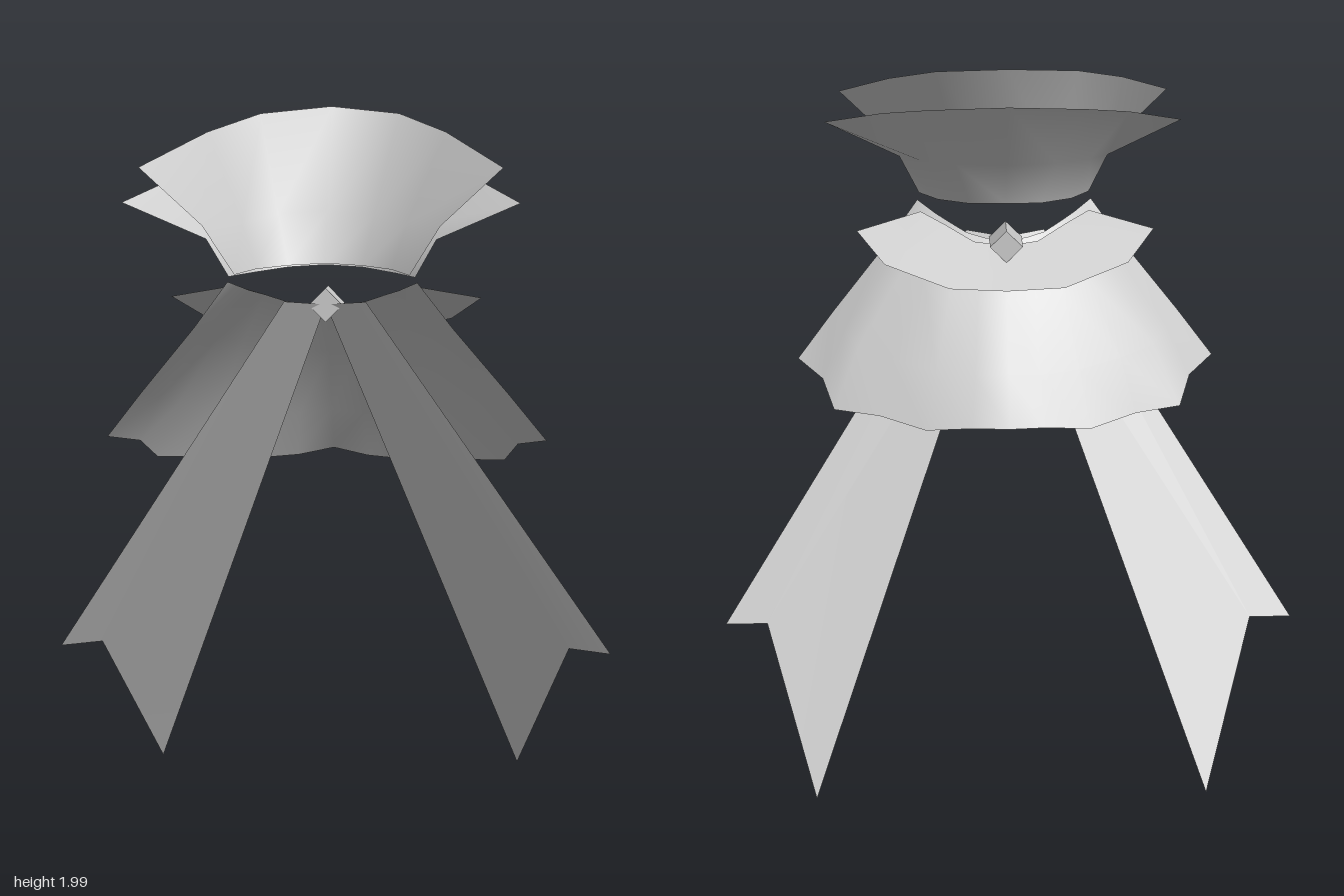
import * as THREE from 'three';

const material = new THREE.MeshStandardMaterial({ color: 0xcccccc, side: THREE.DoubleSide });

// Mirrored cloth sheet: each row lists points from the centre back to the left front end.
function sheet(name, rows) {
  const full = rows.map(r => [...r.slice(1).reverse().map(([x, y, z]) => [-x, y, z]), ...r]);
  const n = full[0].length, index = [];
  for (let i = 0; i < full.length - 1; i++) {
    for (let j = 0; j < n - 1; j++) {
      const a = i * n + j, b = a + n;
      index.push(a, b, a + 1, a + 1, b, b + 1);
    }
  }
  const geometry = new THREE.BufferGeometry();
  geometry.setAttribute('position', new THREE.Float32BufferAttribute(full.flat(2), 3));
  geometry.setIndex(index);
  geometry.computeVertexNormals();
  const mesh = new THREE.Mesh(geometry, material);
  mesh.name = name;
  return mesh;
}

// Flat ribbon with a notched end; s mirrors it to either side.
function ribbon(name, s) {
  const pts = [[0, 1.47, 0.19], [0.55, 0.01, -0.415], [0.69, 0.435, -0.165], [0.81, 0.425, -0.145], [0.11, 1.48, 0.225]];
  const geometry = new THREE.BufferGeometry();
  geometry.setAttribute('position', new THREE.Float32BufferAttribute(pts.flatMap(([x, y, z]) => [s * x, y, z]), 3));
  geometry.setIndex(s > 0 ? [0, 1, 2, 0, 2, 4, 2, 3, 4] : [0, 2, 1, 0, 4, 2, 2, 4, 3]);
  geometry.computeVertexNormals();
  const mesh = new THREE.Mesh(geometry, material);
  mesh.name = name;
  return mesh;
}

export function createModel() {
  const group = new THREE.Group();
  group.name = 'collarAndCape';

  // Standing collar: a tall inner layer and a wider outer layer
  group.add(sheet('innerCollar', [
    [[0, 2.0, -0.045], [0.19, 1.98, 0.025], [0.32, 1.93, 0.17], [0.47, 1.84, 0.41]],
    [[0, 1.72, 0.11], [0.13, 1.71, 0.15], [0.22, 1.69, 0.25], [0.31, 1.69, 0.385]],
    [[0, 1.58, 0.18], [0.1, 1.575, 0.195], [0.18, 1.57, 0.27], [0.23, 1.56, 0.35]],
  ]));
  group.add(sheet('outerCollar', [
    [[0, 1.905, -0.075], [0.21, 1.885, -0.015], [0.34, 1.84, 0.14], [0.515, 1.75, 0.41]],
    [[0, 1.7, 0.1], [0.14, 1.695, 0.14], [0.24, 1.68, 0.24], [0.3, 1.655, 0.38]],
    [[0, 1.575, 0.16], [0.1, 1.57, 0.18], [0.19, 1.56, 0.26], [0.245, 1.555, 0.35]],
  ]));

  // Short shoulder cape with a jagged hem
  group.add(sheet('cape', [
    [[0, 1.465, 0.17], [0.06, 1.47, 0.18], [0.11, 1.48, 0.2], [0.16, 1.5, 0.24], [0.2, 1.515, 0.28], [0.23, 1.53, 0.31], [0.25, 1.54, 0.33]],
    [[0, 1.33, 0.05], [0.08, 1.33, 0.065], [0.16, 1.34, 0.08], [0.23, 1.36, 0.13], [0.29, 1.38, 0.18], [0.32, 1.4, 0.24], [0.345, 1.415, 0.29]],
    [[0, 1.15, -0.07], [0.09, 1.14, -0.05], [0.2, 1.15, -0.035], [0.32, 1.16, 0.03], [0.42, 1.18, 0.08], [0.46, 1.21, 0.15], [0.5, 1.23, 0.24]],
    [[0, 1.025, -0.165], [0.1, 1.01, -0.12], [0.23, 1.0, -0.105], [0.36, 1.015, -0.03], [0.49, 1.02, 0.01], [0.525, 1.08, 0.1], [0.6, 1.105, 0.2]],
  ]));

  // Flat sloping band around the neck
  group.add(sheet('shoulderBand', [
    [[0, 1.455, 0.15], [0.09, 1.465, 0.16], [0.17, 1.5, 0.21], [0.24, 1.525, 0.26]],
    [[0, 1.37, 0], [0.16, 1.375, 0.01], [0.34, 1.425, 0.08], [0.42, 1.49, 0.19]],
  ]));

  // Small knot where the ribbons meet
  const knot = new THREE.Mesh(new THREE.BoxGeometry(0.065, 0.065, 0.1), material);
  knot.name = 'knot';
  knot.position.set(0, 1.468, 0.145);
  knot.rotation.z = Math.PI / 4;
  group.add(knot);

  // Pair of trailing ribbons
  group.add(ribbon('leftRibbon', 1), ribbon('rightRibbon', -1));
  return group;
}
